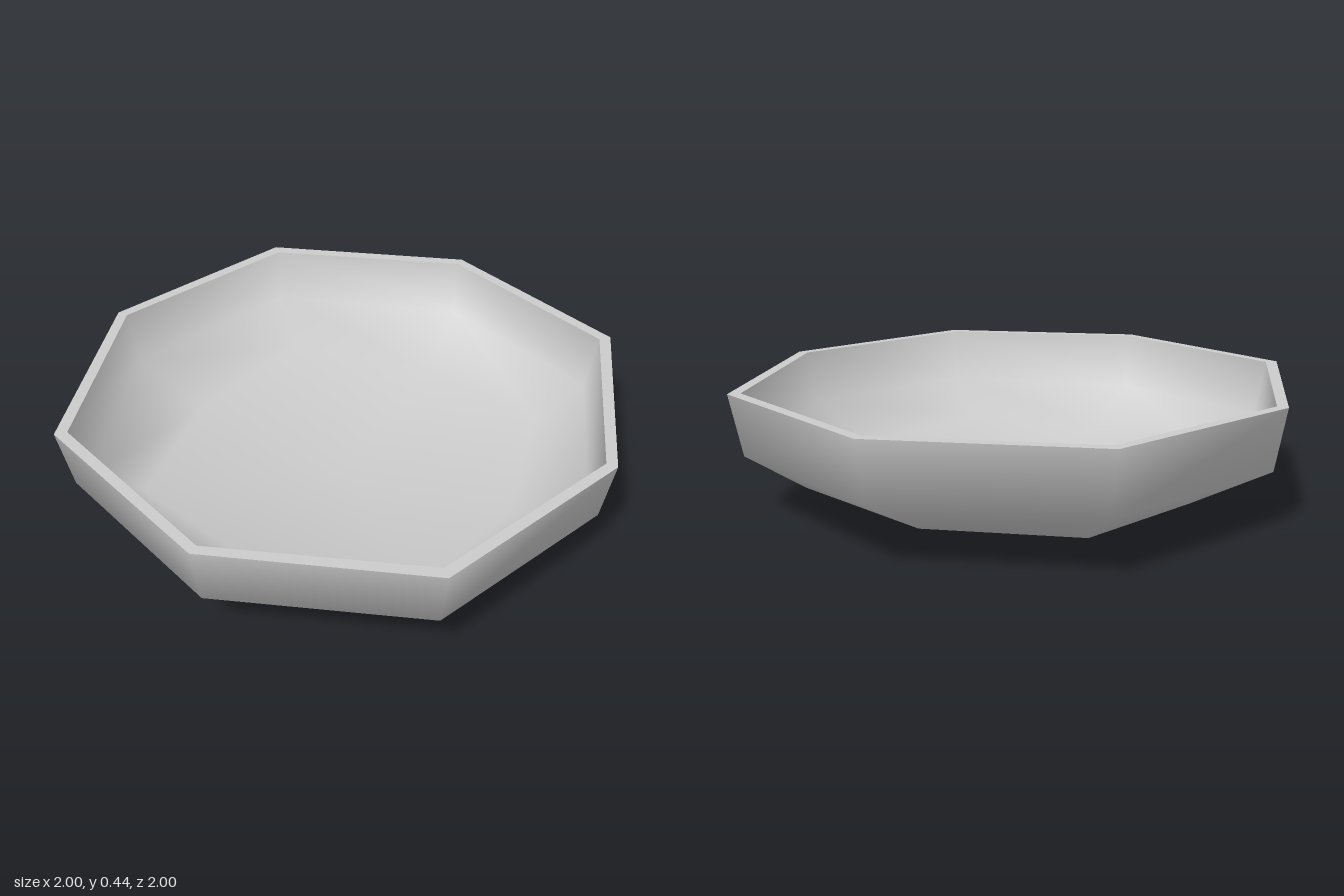
import * as THREE from 'three';

const SIDES = 8;

// Rings are [axis radius, axis height, diagonal radius, diagonal height], listed bottom to top.
const OUTER = [
  [0.67, 0.06, 0.78, 0.085],
  [0.96, 0.215, 0.985, 0.215],
  [1.0, 0.437, 1.03, 0.437],
];
const INNER = [
  [0.65, 0.098, 0.755, 0.122],
  [0.92, 0.237, 0.945, 0.237],
  [0.96, 0.437, 0.985, 0.437],
];

// Joins octagonal rings into a smooth surface, with an optional centre point closing the first ring.
function ringSurface(rings, centreY, inward) {
  const positions = [];
  const index = [];
  const tri = (a, b, c) => (inward ? index.push(a, c, b) : index.push(a, b, c));

  for (const [axisR, axisY, diagR, diagY] of rings) {
    for (let i = 0; i < SIDES; i++) {
      const angle = (i / SIDES) * Math.PI * 2;
      const r = i % 2 ? diagR : axisR;
      positions.push(r * Math.sin(angle), i % 2 ? diagY : axisY, r * Math.cos(angle));
    }
  }
  for (let k = 0; k < rings.length - 1; k++) {
    for (let i = 0; i < SIDES; i++) {
      const a = k * SIDES + i;
      const b = k * SIDES + ((i + 1) % SIDES);
      tri(a, b, b + SIDES);
      tri(a, b + SIDES, a + SIDES);
    }
  }
  if (centreY !== null) {
    const centre = positions.length / 3;
    positions.push(0, centreY, 0);
    for (let i = 0; i < SIDES; i++) tri(centre, (i + 1) % SIDES, i);
  }

  const geometry = new THREE.BufferGeometry();
  geometry.setAttribute('position', new THREE.Float32BufferAttribute(positions, 3));
  geometry.setIndex(index);
  geometry.computeVertexNormals();
  return geometry;
}

export function createModel() {
  const bowl = new THREE.Group();
  bowl.name = 'bowl';

  const grey = new THREE.MeshStandardMaterial({ color: 0xcccccc });
  grey.name = 'light grey';

  const add = (name, geometry) => {
    const mesh = new THREE.Mesh(geometry, grey);
    mesh.name = name;
    bowl.add(mesh);
  };

  // Outside wall and shallow pointed base
  add('outerShell', ringSurface(OUTER, 0, false));
  // Hollow inside, offset by the wall thickness
  add('innerShell', ringSurface(INNER, 0.04, true));
  // Flat lip joining the two shells
  add('rim', ringSurface([OUTER[2], INNER[2]], null, false));

  return bowl;
}
